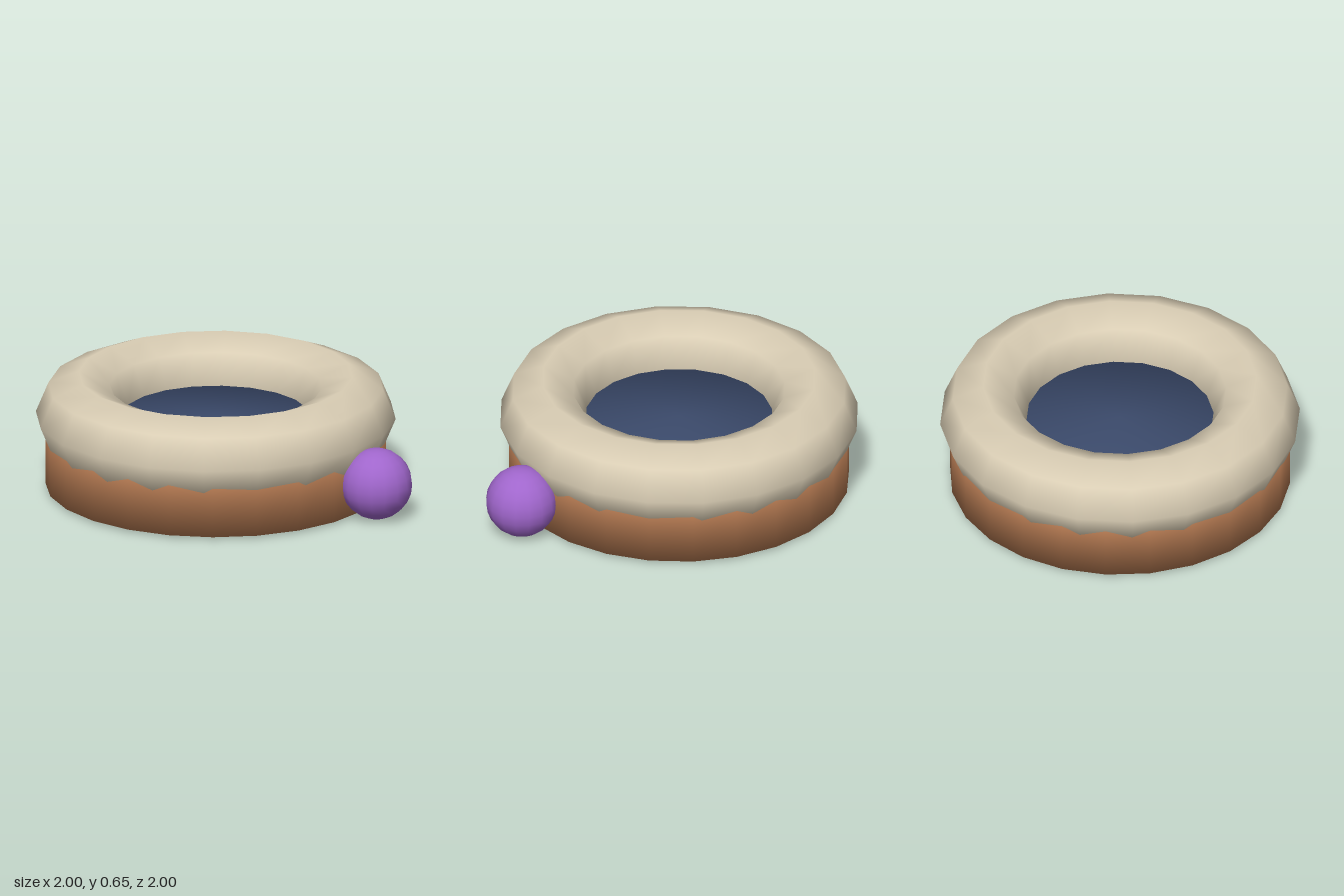
import * as THREE from 'three';

const material = (name, color) => {
  const m = new THREE.MeshStandardMaterial({ color });
  m.name = name;
  return m;
};

// Closed disc whose shading rolls softly over the rims
function softDisc(radius, bottom, top, sides) {
  const geo = new THREE.CylinderGeometry(radius, radius, top - bottom, sides);
  const { position: p, normal: n } = geo.attributes;
  for (let i = 0; i < p.count; i++) {
    n.setXYZ(i, p.getX(i) / radius, Math.sign(p.getY(i)), p.getZ(i) / radius);
  }
  geo.normalizeNormals();
  geo.translate(0, (top + bottom) / 2, 0);
  return geo;
}

export function createModel() {
  const group = new THREE.Group();
  group.name = 'petBed';
  const add = (name, geo, mat) => {
    const mesh = new THREE.Mesh(geo, mat);
    mesh.name = name;
    group.add(mesh);
    return mesh;
  };

  // Low round base
  add('base', softDisc(0.945, 0.02, 0.37, 24), material('brown', 0xb57a52));

  // Padded ring with an eight-sided section
  const ring = new THREE.TorusGeometry(0.76, 0.24, 8, 20).rotateX(-Math.PI / 2);
  add('paddedRing', ring, material('cream', 0xd9cdb4)).position.y = 0.42;

  // Cushion filling the hole of the ring
  add('cushion', softDisc(0.7, 0.3, 0.418, 24), material('navy', 0x3b4a6b));

  // Toy ball resting against the front left
  add('toyBall', new THREE.SphereGeometry(0.2, 16, 12), material('purple', 0xa066cc))
    .position.set(0.73, 0.205, 0.755);

  return group;
}
